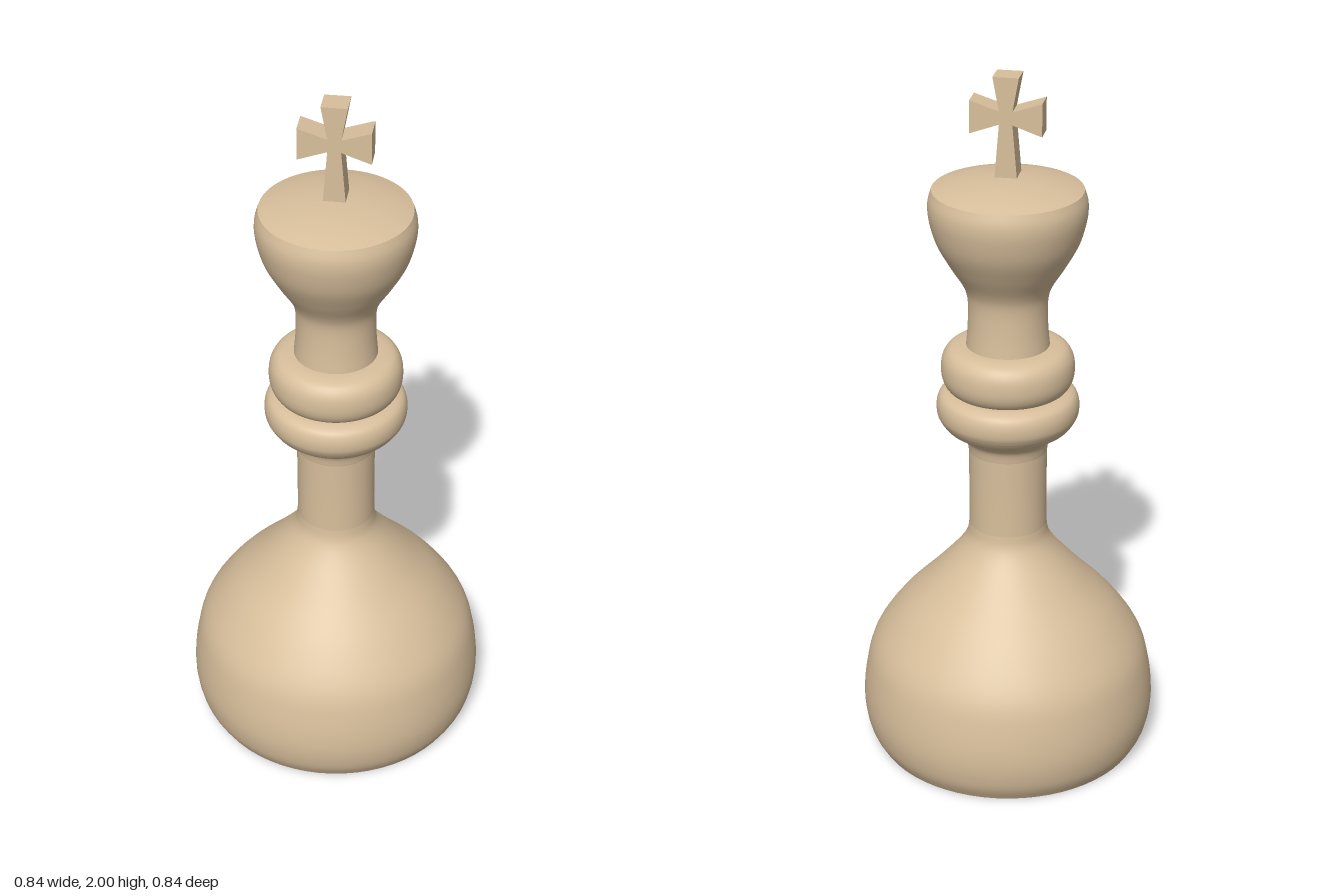
import * as THREE from 'three';

const material = new THREE.MeshStandardMaterial({ color: 0xd8bf9c });

// Turned part: a smooth curve through [radius, height] points, spun about y
function turned(name, points, steps = 24) {
  const curve = new THREE.SplineCurve(points.map(([r, y]) => new THREE.Vector2(r, y)));
  const profile = curve.getPoints(steps);
  profile.forEach((p) => { p.x = Math.max(0, p.x); });
  const mesh = new THREE.Mesh(new THREE.LatheGeometry(profile, 64), material);
  mesh.name = name;
  return mesh;
}

// Cross with four flared arms, extruded front to back
function cross() {
  const right = [
    [0.03, 1.727], [0.018, 1.872], [0.097, 1.844],
    [0.097, 1.934], [0.018, 1.908], [0.035, 2.0],
  ];
  const left = right.map(([x, y]) => [-x, y]).reverse();
  const shape = new THREE.Shape([...right, ...left].map(([x, y]) => new THREE.Vector2(x, y)));
  const geometry = new THREE.ExtrudeGeometry(shape, { depth: 0.068, bevelEnabled: false });
  geometry.translate(0, 0, -0.034);
  const mesh = new THREE.Mesh(geometry, material);
  mesh.name = 'cross';
  return mesh;
}

export function createModel() {
  const model = new THREE.Group();
  model.name = 'chessKing';

  // Flat underside
  const underside = new THREE.Mesh(new THREE.CircleGeometry(0.385, 64), material);
  underside.rotation.x = Math.PI / 2;
  underside.name = 'underside';
  model.add(underside);

  model.add(
    // Bulbous base narrowing into the stem
    turned('base', [
      [0.385, 0], [0.41, 0.05], [0.422, 0.13], [0.412, 0.23], [0.385, 0.32],
      [0.315, 0.42], [0.225, 0.515], [0.15, 0.6], [0.118, 0.65], [0.11, 0.69],
    ], 48),
    turned('stem', [[0.11, 0.69], [0.109, 0.8], [0.11, 0.92]], 4),
    // Flare under the collars
    turned('collarFlare', [[0.11, 0.92], [0.118, 0.953], [0.145, 0.98], [0.172, 0.995], [0.188, 1.015]]),
    // Two rounded collars with a groove between them
    turned('lowerCollar', [
      [0.188, 1.015], [0.197, 1.035], [0.198, 1.065], [0.188, 1.09], [0.165, 1.102], [0.14, 1.104],
    ]),
    turned('upperCollar', [
      [0.14, 1.104], [0.165, 1.112], [0.18, 1.135], [0.185, 1.165],
      [0.181, 1.2], [0.165, 1.225], [0.14, 1.235], [0.115, 1.238],
    ]),
    // Upper neck opening into the cup-shaped head
    turned('head', [
      [0.115, 1.238], [0.11, 1.3], [0.11, 1.37], [0.123, 1.415], [0.16, 1.475],
      [0.195, 1.54], [0.213, 1.605], [0.215, 1.65], [0.205, 1.685],
    ], 40),
    // Shallow domed top
    turned('crown', [[0.205, 1.685], [0.15, 1.7], [0.075, 1.712], [0, 1.716]], 12),
    cross(),
  );
  return model;
}
